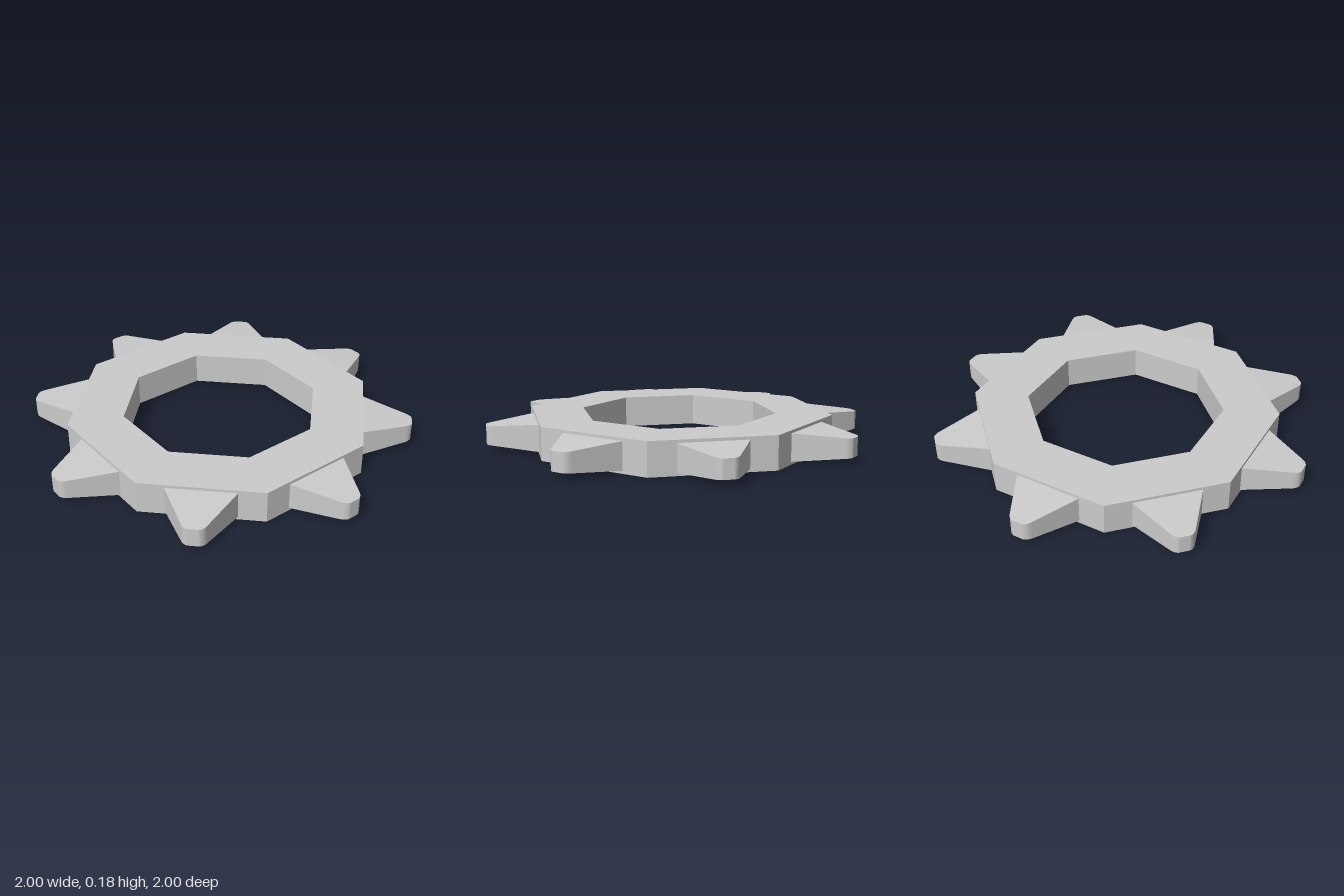
import * as THREE from 'three';

const SIDES = 8;
const HEIGHT = 0.18;

// Octagonal ring with two shallow grooves cut into its underside
function ringGeometry() {
  const outer = 0.865, inner = 0.555, depth = 0.02;
  const points = [[inner, 0]];
  for (const [a, b] of [[0.63, 0.665], [0.725, 0.76]]) {
    points.push([a, 0], [a, depth], [b, depth], [b, 0]);
  }
  points.push([outer, 0], [outer, HEIGHT], [inner, HEIGHT], [inner, 0]);
  return new THREE.LatheGeometry(points.map(p => new THREE.Vector2(...p)), SIDES);
}

// Tapered tooth with rounded tip corners, thinning towards the tip
function toothGeometry() {
  const base = 0.79, tip = 1.07;
  const s = new THREE.Shape();
  s.moveTo(-0.19, base);
  s.lineTo(0.19, base);
  s.lineTo(0.063, 1.04);
  s.quadraticCurveTo(0.052, 1.062, 0.03, tip);
  s.lineTo(-0.03, tip);
  s.quadraticCurveTo(-0.052, 1.062, -0.063, 1.04);
  s.closePath();
  const g = new THREE.ExtrudeGeometry(s, { depth: 1, bevelEnabled: false, curveSegments: 4 });
  const pos = g.attributes.position;
  for (let i = 0; i < pos.count; i++) {
    const k = (pos.getY(i) - base) / (tip - base);
    const half = THREE.MathUtils.lerp(0.075, 0.051, k);
    pos.setZ(i, HEIGHT / 2 + (pos.getZ(i) - 0.5) * 2 * half);
  }
  g.rotateX(-Math.PI / 2);
  g.computeVertexNormals();
  return g;
}

export function createModel() {
  const group = new THREE.Group();
  group.name = 'toothedRing';
  const material = new THREE.MeshStandardMaterial({ color: 0xcccccc, flatShading: true });

  const ring = new THREE.Mesh(ringGeometry(), material);
  ring.name = 'ring';
  group.add(ring);

  // One tooth in the middle of each ring side
  const geometry = toothGeometry();
  for (let i = 0; i < SIDES; i++) {
    const tooth = new THREE.Mesh(geometry, material);
    tooth.name = `tooth${i + 1}`;
    tooth.rotation.y = (i + 0.5) * 2 * Math.PI / SIDES;
    group.add(tooth);
  }
  return group;
}
